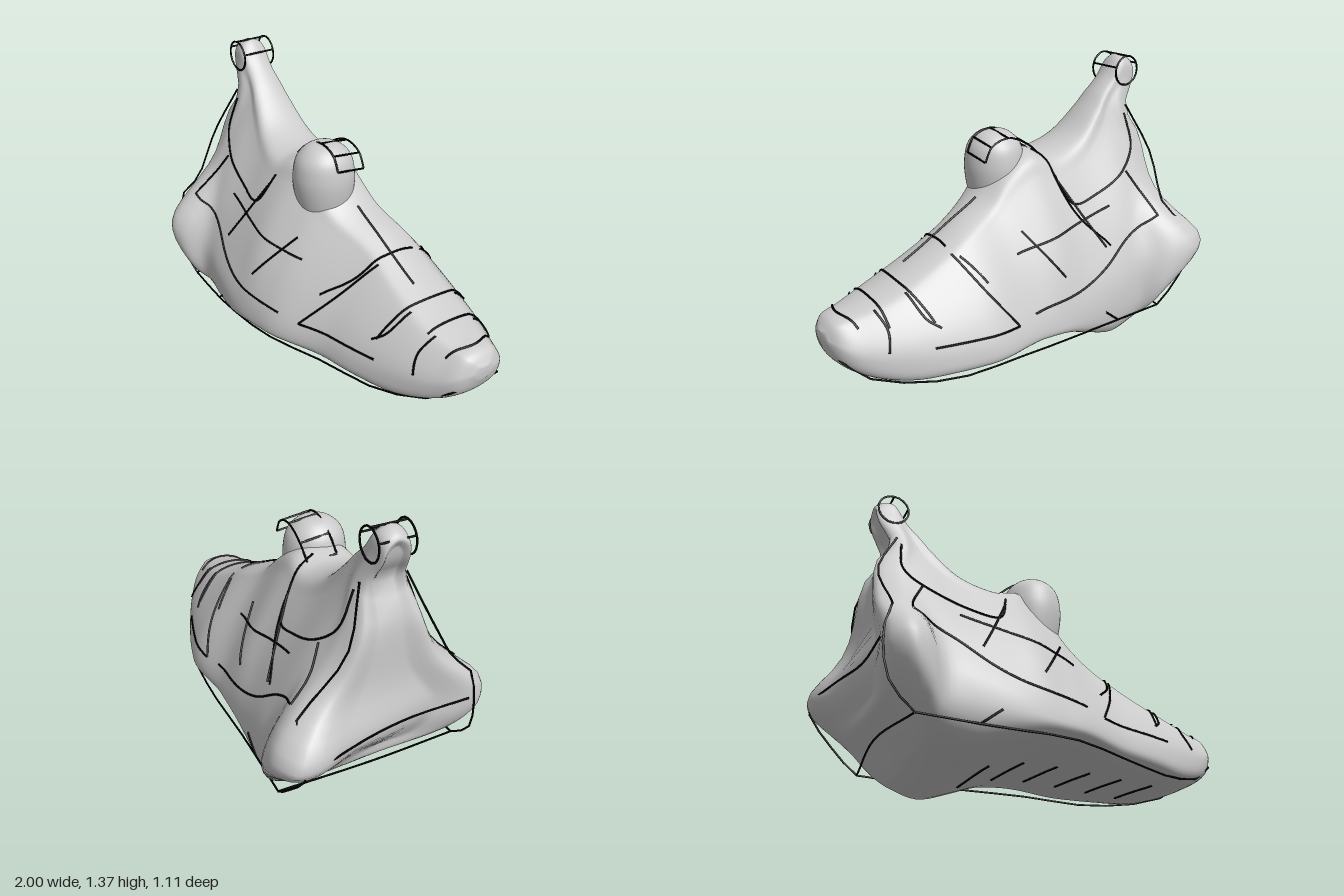
import * as THREE from 'three';

const V = (x, y, z) => new THREE.Vector3(x, y, z);
const smooth = THREE.MathUtils.smoothstep;
const bell = (v, c, w) => Math.exp(-(((v - c) / w) ** 2));

// Cross-sections from heel to toe:
// x, bottom y, top y, sole half width, widest half width, its y, mid half width, top half width
const STATIONS = [
  [-0.84, 0.28, 1.27, 0.14, 0.22, 0.42, 0.08, 0.04],
  [-0.86, 0.22, 1.31, 0.39, 0.48, 0.42, 0.21, 0.07],
  [-0.78, 0.15, 1.345, 0.45, 0.55, 0.42, 0.25, 0.085],
  [-0.70, 0.10, 1.24, 0.46, 0.53, 0.40, 0.29, 0.09],
  [-0.60, 0.05, 1.13, 0.42, 0.455, 0.30, 0.34, 0.12],
  [-0.45, 0.01, 0.98, 0.42, 0.46, 0.24, 0.37, 0.17],
  [-0.28, 0.05, 0.92, 0.44, 0.465, 0.20, 0.38, 0.20],
  [-0.14, 0.09, 0.95, 0.45, 0.46, 0.19, 0.38, 0.18],
  [0.00, 0.10, 0.87, 0.44, 0.45, 0.18, 0.36, 0.17],
  [0.12, 0.10, 0.755, 0.425, 0.435, 0.18, 0.35, 0.17],
  [0.30, 0.09, 0.66, 0.39, 0.40, 0.18, 0.33, 0.16],
  [0.50, 0.08, 0.55, 0.34, 0.35, 0.18, 0.30, 0.16],
  [0.70, 0.075, 0.46, 0.265, 0.28, 0.19, 0.25, 0.15],
  [0.87, 0.12, 0.405, 0.18, 0.20, 0.22, 0.18, 0.11],
  [0.96, 0.18, 0.38, 0.11, 0.135, 0.27, 0.12, 0.08],
  [1.00, 0.26, 0.33, 0.04, 0.05, 0.30, 0.045, 0.03],
];

// Curved last, pulled-out heel corners, pinched heel tab and uneven heel base
function warp(p) {
  const { x, y, z } = p;
  const back = THREE.MathUtils.clamp((-0.6 - x) / 0.25, 0, 1);
  p.z += 0.025 * bell(x, -0.25, 0.25) - 0.07 * smooth(x, 0, 0.35);
  p.x += back * (0.08 * bell(y, 1.08, 0.1) + 0.09 * (1 - smooth(y, 0.1, 0.38)));
  p.x -= back * 0.13 * bell(y, 0.43, 0.14) * smooth(-z, -0.1, 0.43);
  p.y += 0.06 * z * bell(x, -0.45, 0.25) * (1 - smooth(y, 0.05, 0.4));
  return p;
}

function ring([x, yb, yt, wb, wm, ym, w2, wt], n) {
  const h = yt - ym;
  const half = [
    [wb, yb + 0.025], [wm, ym], [w2, ym + 0.35 * h],
    [wt, yt - 0.16 * h], [wt * 0.7, yt - Math.min(0.03, 0.06 * h)],
  ];
  const pts = [
    V(x, yb, 0), ...half.map(([z, y]) => V(x, y, z)),
    V(x, yt, 0), ...half.reverse().map(([z, y]) => V(x, y, -z)),
  ];
  const curve = new THREE.CatmullRomCurve3(pts, true, 'centripetal');
  return Array.from({ length: n }, (_, j) => curve.getPoint(j / n));
}

function bodyGeometry() {
  const n = 72, steps = (STATIONS.length - 1) * 5;
  const rings = STATIONS.map((s) => ring(s, n));
  const rails = Array.from({ length: n }, (_, j) =>
    new THREE.CatmullRomCurve3(rings.map((r) => r[j]), false, 'centripetal').getPoints(steps));
  const pos = [], index = [];
  for (let i = 0; i <= steps; i++) for (let j = 0; j < n; j++) pos.push(...warp(rails[j][i].clone()).toArray());
  for (let i = 0; i < steps; i++) {
    for (let j = 0; j < n; j++) {
      const a = i * n + j, b = i * n + ((j + 1) % n), c = a + n, d = b + n;
      index.push(a, c, b, b, c, d);
    }
  }
  // Close heel and toe, pairing the two sides of each end ring
  const last = steps * n;
  for (let j = 0; j < n / 2; j++) {
    const a = j, b = j + 1, c = (n - j) % n, d = n - j - 1;
    index.push(a, b, c, b, d, c);
    index.push(last + a, last + c, last + b, last + b, last + c, last + d);
  }
  const g = new THREE.BufferGeometry();
  g.setAttribute('position', new THREE.Float32BufferAttribute(pos, 3));
  g.setIndex(index);
  g.computeVertexNormals();
  return g;
}

// Rounded knob that sinks into the body
function tongueGeometry() {
  const profile = [[0.09, 0.62], [0.125, 0.72], [0.143, 0.82], [0.144, 0.9], [0.125, 0.98], [0.07, 1.035], [0, 1.047]];
  const curve = new THREE.SplineCurve(profile.map(([r, y]) => new THREE.Vector2(r, y)));
  return new THREE.LatheGeometry(curve.getPoints(30).map((p) => p.set(Math.max(0, p.x), p.y)), 40);
}

export function createModel() {
  const model = new THREE.Group();
  const grey = new THREE.MeshStandardMaterial({ color: 0xcccccc, side: THREE.DoubleSide });
  const body = new THREE.Mesh(bodyGeometry(), grey);
  body.name = 'shoeBody';
  const tongue = new THREE.Mesh(tongueGeometry(), grey);
  tongue.name = 'tongue';
  tongue.position.set(-0.04, 0, 0.06);
  tongue.scale.z = 1.06;
  model.add(body, tongue);
  model.updateMatrixWorld(true);

  const ink = new THREE.MeshStandardMaterial({ color: 0x000000 });
  const ray = new THREE.Raycaster();
  const tube = (name, pts, closed = false) => {
    if (pts.length < 2) return;
    const curve = new THREE.CatmullRomCurve3(pts, closed, 'centripetal');
    const mesh = new THREE.Mesh(new THREE.TubeGeometry(curve, Math.max(12, pts.length * 2), 0.005, 5, closed), ink);
    mesh.name = name;
    model.add(mesh);
  };
  const free = (name, pts, closed) => tube(name, pts.map((p) => V(...p)), closed);
  // Drop a flat stroke onto the shoe along a direction
  const project = (name, flat, place, dir) => {
    const path = new THREE.CatmullRomCurve3(flat.map(([a, b]) => V(a, b, 0)), false, 'centripetal');
    const hits = [];
    for (const p of path.getPoints(16)) {
      ray.set(place(p.x, p.y), dir);
      const hit = ray.intersectObjects([body, tongue])[0];
      if (hit) hits.push(hit.point.addScaledVector(dir, -0.004));
    }
    tube(name, hits);
  };

  // Side strokes: panels, collar and sole edge
  const sideStrokes = {
    collarLine: [[-0.74, 1.06], [-0.74, 0.9], [-0.65, 0.8], [-0.45, 0.71], [-0.3, 0.69], [-0.24, 0.84]],
    heelPanelLine: [[-0.66, 0.79], [-0.72, 0.66], [-0.74, 0.58]],
    quarterLine: [[-0.74, 0.58], [-0.55, 0.49], [-0.38, 0.37], [-0.24, 0.31], [0.07, 0.27]],
    sideBar: [[-0.5, 0.65], [-0.2, 0.58], [0.08, 0.53]],
    rearCrossLine: [[-0.25, 0.8], [-0.35, 0.6], [-0.42, 0.47]],
    frontCrossLine: [[0.02, 0.62], [-0.14, 0.39]],
    vampLine: [[0.39, 0.58], [0.3, 0.42], [0.18, 0.25]],
    vampBaseLine: [[0.18, 0.25], [0.6, 0.245]],
    toeLine: [[0.64, 0.46], [0.6, 0.36], [0.55, 0.32]],
    toeTipLine: [[0.79, 0.41], [0.77, 0.34], [0.79, 0.25]],
    soleTick: [[-0.36, 0.16], [-0.45, 0.09]],
  };
  for (const s of [1, -1]) {
    for (const [name, flat] of Object.entries(sideStrokes)) {
      project(name, flat, (x, y) => V(x, y, 2 * s), V(0, 0, -s));
    }
  }

  // Strokes over the top of the toe
  const topStrokes = [
    [[0.13, -0.02], [0.55, -0.03]],
    [[0.39, -0.15], [0.38, 0], [0.34, 0.13], [0.22, 0.27]],
    [[0.57, -0.33], [0.63, -0.18], [0.63, 0], [0.57, 0.2]],
    [[0.76, -0.26], [0.77, -0.1], [0.76, 0.06]],
    [[0.88, -0.2], [0.92, -0.07], [0.88, 0.06]],
    [[0.28, -0.33], [0.36, -0.22]],
    [[-0.45, -0.37], [-0.28, -0.24], [-0.2, -0.03]],
  ];
  for (const s of topStrokes) project('topStroke', s, (x, z) => V(x, 3, z), V(0, -1, 0));

  // Hatching under the sole
  for (let i = 0; i < 6; i++) {
    const x = -0.3 + i * 0.17;
    project('soleHatch', [[x, -0.2], [x + 0.05, 0.08]], (a, z) => V(a, -1, z), V(0, 1, 0));
  }

  // Loose outline around the sole
  free('soleOutline', [
    [-0.72, 0.1, 0.46], [-0.4, 0.09, 0.47], [0, 0.1, 0.44], [0.3, 0.09, 0.33], [0.62, 0.075, 0.22],
    [0.85, 0.13, 0.11], [0.96, 0.22, 0.06], [0.97, 0.22, -0.18], [0.86, 0.12, -0.24],
    [0.55, 0.08, -0.4], [0.15, 0.1, -0.46], [-0.3, 0.09, -0.45], [-0.72, 0.1, -0.46],
  ]);

  // Heel counter frame on each side
  for (const s of [1, -1]) {
    const out = s > 0 ? -0.87 : -0.99;
    free('heelFrame', [
      [-0.76, 1.1, 0.11 * s], [-0.86, 0.85, 0.21 * s], [-0.82, 0.62, 0.36 * s], [-0.84, 0.56, 0.43 * s],
      [out, 0.42, 0.45 * s], [-0.83, 0.2, 0.47 * s], [-0.72, 0.1, 0.46 * s],
    ]);
  }
  free('heelTopRail', [[-0.99, 0.42, -0.42], [-0.915, 0.43, -0.12], [-0.87, 0.42, 0.12], [-0.87, 0.42, 0.42]]);
  free('heelBaseRail', [[-0.72, 0.1, -0.46], [-0.76, 0.13, 0], [-0.72, 0.1, 0.46]]);

  // Pull loop on the heel tab
  const arc = (cx, cy, r, z, a) => [cx + r * Math.cos(a), cy + r * Math.sin(a), z];
  for (const z of [0.085, -0.085]) {
    free('heelLoop', Array.from({ length: 10 }, (_, i) => arc(-0.78, 1.27, 0.075, z, i * Math.PI / 5)), true);
  }
  for (const a of [0.3, 1.6, 2.7]) {
    free('heelLoopBar', [arc(-0.78, 1.27, 0.075, 0.085, a), arc(-0.78, 1.27, 0.075, -0.085, a)]);
  }

  // Ladder-like pad on top of the tongue
  const padEdge = (z, dy) => [[-0.23, 0.93], [-0.15, 1.0], [-0.03, 1.05], [0.07, 1.02], [0.105, 0.95]]
    .map(([x, y]) => [x, y + dy, z]);
  const inner = padEdge(-0.07, -0.02), outer = padEdge(0.08, 0);
  free('tonguePadEdge', inner);
  free('tonguePadEdge', outer);
  inner.forEach((p, i) => free('tonguePadRung', [p, outer[i]]));

  return model;
}
